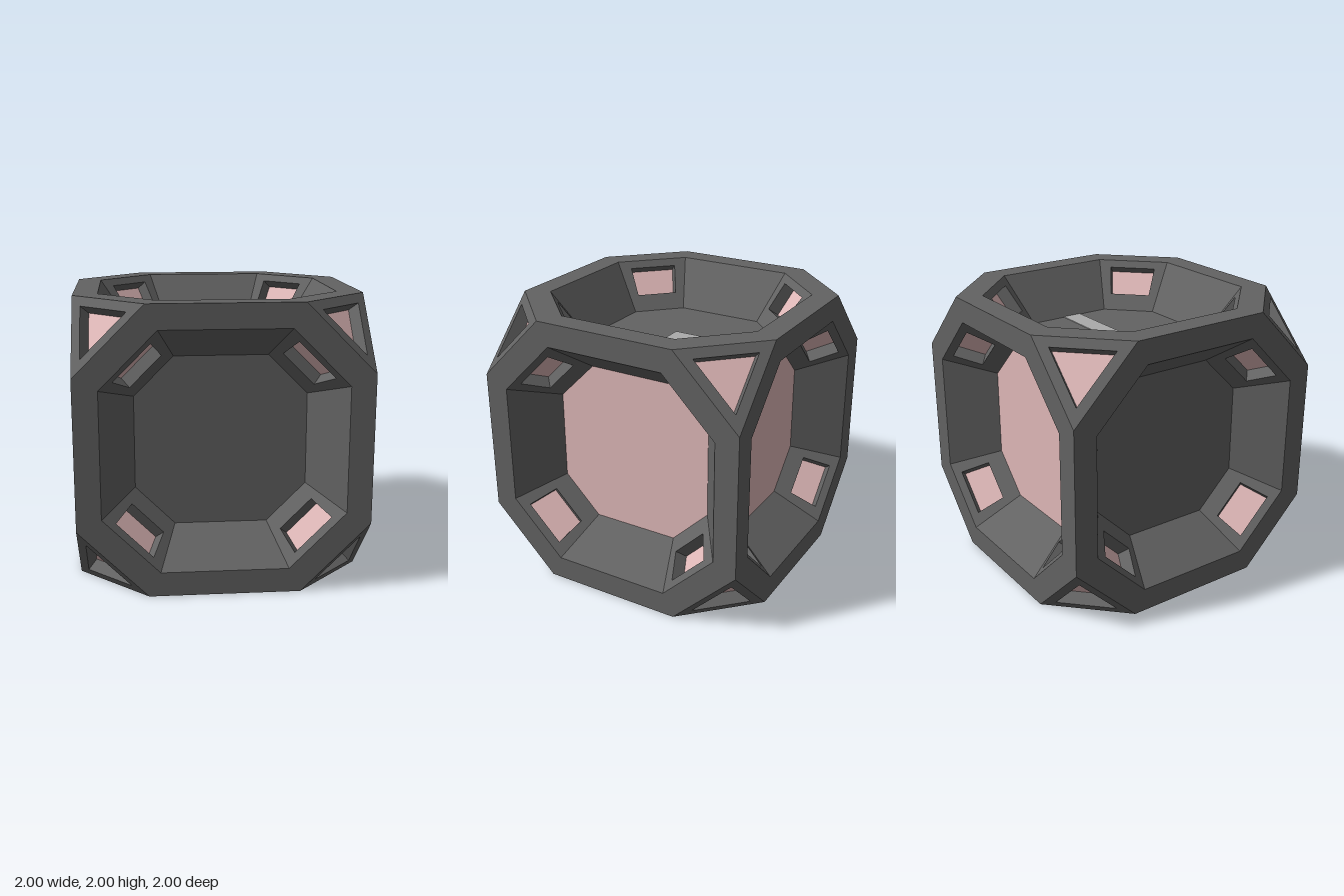
import * as THREE from 'three';

const darkGray = new THREE.MeshStandardMaterial({ name: 'dark gray', color: 0x626262 });
const pink = new THREE.MeshStandardMaterial({ name: 'pale pink', color: 0xdeb7b7 });
const lightGray = new THREE.MeshStandardMaterial({ name: 'light gray', color: 0xababab });

const FLOOR = 0.66;        // distance of the recess floors from the centre
const WINDOW_DEPTH = 0.095;
const V = (x, y, z) => new THREE.Vector3(x, y, z);

// Flat-shaded geometry from a list of convex polygons (counter-clockwise from outside)
function facets(polygons) {
  const points = [];
  for (const p of polygons) {
    for (let i = 1; i < p.length - 1; i++) points.push(p[0], p[i], p[i + 1]);
  }
  const geometry = new THREE.BufferGeometry().setFromPoints(points);
  geometry.computeVertexNormals();
  return geometry;
}

// Quads joining two loops with the same number of corners
function strip(a, b) {
  return a.map((p, i) => {
    const j = (i + 1) % a.length;
    return [p, a[j], b[j], b[i]];
  });
}

// Octagon with flat sides at distance r and half side length e
function octagon(r, e, z) {
  return [[r, -e], [r, e], [e, r], [-e, r], [-r, e], [-r, -e], [-e, -r], [e, -r]]
    .map(([x, y]) => V(x, y, z));
}

// Panel with a sunken window: frame and jambs, plus the pane
function windowPanel(border, opening) {
  const normal = new THREE.Triangle(border[0], border[1], border[2]).getNormal(V(0, 0, 0));
  const pane = opening.map((p) => p.clone().addScaledVector(normal, -WINDOW_DEPTH));
  return {
    frame: facets([...strip(border, opening), ...strip(opening, pane)]),
    pane: facets([pane]),
  };
}

function addMesh(parent, name, geometry, material) {
  const mesh = new THREE.Mesh(geometry, material);
  mesh.name = name;
  parent.add(mesh);
  return mesh;
}

function addWindow(parent, name, panel) {
  const group = new THREE.Group();
  group.name = name;
  addMesh(group, 'windowFrame', panel.frame, darkGray);
  addMesh(group, 'windowPane', panel.pane, pink);
  parent.add(group);
  return group;
}

// Thin bent stripe with softened corners
function stripeGeometry() {
  const s = new THREE.Shape();
  s.moveTo(-0.09, 0.6);
  s.lineTo(-0.09, -0.07);
  s.quadraticCurveTo(-0.09, -0.09, -0.07, -0.09);
  s.lineTo(0.6, -0.09);
  s.lineTo(0.6, 0.055);
  s.lineTo(0.085, 0.06);
  s.quadraticCurveTo(0.05, 0.06, 0.05, 0.095);
  s.lineTo(0.05, 0.6);
  return new THREE.ExtrudeGeometry(s, { depth: 0.005, bevelEnabled: false, curveSegments: 5 });
}

export function createModel() {
  const model = new THREE.Group();
  model.name = 'truncatedCube';
  const body = new THREE.Group();
  body.name = 'body';
  body.position.y = 1;
  model.add(body);

  // Shared face parts, drawn facing +z
  const edge = octagon(1, 0.52, 1);
  const lip = octagon(0.83, 0.44, 1);
  const base = octagon(0.6, 0.325, FLOOR);
  const walls = strip(lip, base);
  const rimGeometry = facets(strip(edge, lip));
  const wallGeometry = facets(walls.filter((_, i) => i % 2 === 0));
  const floorGeometry = facets([base]);

  // Window in a diagonal recess wall
  const onWall = (x, y) => V(x, y, FLOOR + (1 - FLOOR) * ((x + y) / 2 - 0.4625) / 0.1725);
  const wallWindow = windowPanel(walls[1], [
    onWall(0.735, 0.485), onWall(0.485, 0.735), onWall(0.41, 0.625), onWall(0.625, 0.41),
  ]);

  // Six recessed faces
  const q = Math.PI / 2;
  const faces = [
    ['front', 0, 0, darkGray], ['back', 0, 2 * q, pink],
    ['left', 0, q, pink], ['right', 0, -q, darkGray],
    ['top', -q, 0, darkGray], ['bottom', q, 0, darkGray],
  ];
  for (const [name, rx, ry, floorColor] of faces) {
    const face = new THREE.Group();
    face.name = name + 'Face';
    face.rotation.set(rx, ry, 0);
    body.add(face);
    addMesh(face, 'rim', rimGeometry, darkGray);
    addMesh(face, 'recessWalls', wallGeometry, darkGray);
    addMesh(face, 'recessFloor', floorGeometry, floorColor);
    for (let i = 0; i < 4; i++) {
      addWindow(face, 'wallWindow', wallWindow).rotation.z = i * q;
    }
    if (name === 'top') addMesh(face, 'bentStripe', stripeGeometry(), lightGray).position.z = FLOOR;
  }

  // Eight cut corners with triangular windows
  const triangle = (a, b) => [V(a, b, b), V(b, a, b), V(b, b, a)];
  const cornerWindow = windowPanel(triangle(0.52, 1), triangle(0.636, 0.942));
  for (const flip of [0, Math.PI]) {
    for (let i = 0; i < 4; i++) {
      const corner = addWindow(body, flip ? 'lowerCorner' : 'upperCorner', cornerWindow);
      corner.rotation.set(0, i * q, flip);
    }
  }
  return model;
}
